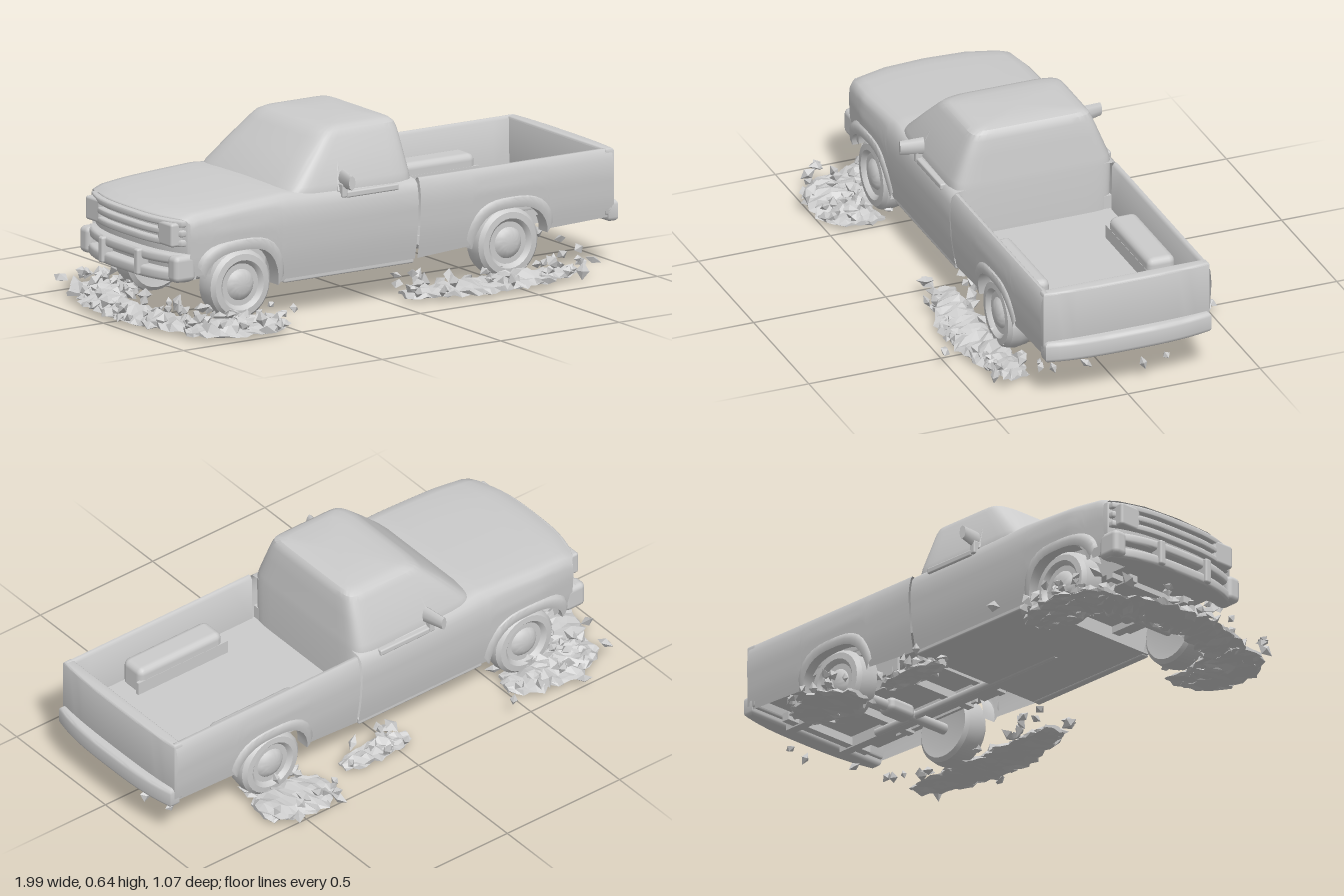
import * as THREE from 'three';
import { toCreasedNormals } from 'three/addons/utils/BufferGeometryUtils.js';
import { RoundedBoxGeometry } from 'three/addons/geometries/RoundedBoxGeometry.js';

const grey = new THREE.MeshStandardMaterial({ color: 0xcccccc, side: THREE.DoubleSide });
const rough = new THREE.MeshStandardMaterial({ color: 0xcccccc, side: THREE.DoubleSide, flatShading: true });

let seed = 7;
const rnd = () => { seed = (seed * 16807) % 2147483647; return seed / 2147483647; };

function add(parent, name, geo, mat = grey, x = 0, y = 0, z = 0) {
  const m = new THREE.Mesh(geo, mat);
  m.name = name;
  m.position.set(x, y, z);
  parent.add(m);
  return m;
}
function box(parent, name, x0, x1, y0, y1, z0, z1, r = 0) {
  const s = [x1 - x0, y1 - y0, z1 - z0];
  const g = r ? new RoundedBoxGeometry(...s, 2, r) : new THREE.BoxGeometry(...s);
  return add(parent, name, g, grey, (x0 + x1) / 2, (y0 + y1) / 2, (z0 + z1) / 2);
}
// Joins cross-sections (arrays of [x, y, z]) into a skin
function loft(sections, closed = false, caps = false, crease = 0.6) {
  const n = sections[0].length, pos = sections.flat(2), idx = [];
  for (let j = 0; j < sections.length - 1; j++) {
    for (let i = 0; i < (closed ? n : n - 1); i++) {
      const a = j * n + i, b = j * n + (i + 1) % n;
      idx.push(a, b, a + n, b, b + n, a + n);
    }
  }
  if (caps) for (const j of [0, sections.length - 1]) {
    const c = pos.length / 3, s = sections[j];
    for (let k = 0; k < 3; k++) pos.push(s.reduce((t, p) => t + p[k], 0) / n);
    for (let i = 0; i < n; i++) {
      const a = j * n + i, b = j * n + (i + 1) % n;
      idx.push(...(j ? [a, b, c] : [b, a, c]));
    }
  }
  const g = new THREE.BufferGeometry();
  g.setAttribute('position', new THREE.Float32BufferAttribute(pos, 3));
  g.setIndex(idx);
  return toCreasedNormals(g, crease);
}
// Linear interpolation through [input, output] pairs
function lerpTable(t, v) {
  if (v <= t[0][0]) return t[0][1];
  for (let i = 1; i < t.length; i++) if (v <= t[i][0]) {
    const [a, b] = [t[i - 1], t[i]];
    return a[1] + (b[1] - a[1]) * (v - a[0]) / (b[0] - a[0]);
  }
  return t[t.length - 1][1];
}
const halfWidth = y => lerpTable([[0.12, 0.296], [0.19, 0.31], [0.25, 0.319], [0.35, 0.325], [0.4, 0.319], [0.425, 0.311], [0.45, 0.295]], y);
const baseLine = x => lerpTable([[-0.88, 0.2], [-0.77, 0.2], [-0.45, 0.135], [0.12, 0.14], [0.35, 0.155], [0.67, 0.175], [0.96, 0.185]], x);
const hoodLine = x => lerpTable([[-0.9, 0.4], [-0.85, 0.42], [-0.75, 0.428], [-0.42, 0.447], [-0.34, 0.44], [0.12, 0.43]], x);
const FRONT = -0.615, REAR = 0.515, ARCH = 0.165;
function bottom(x) {
  const b = baseLine(x);
  const u = Math.min(Math.abs(x - FRONT), Math.abs(x - REAR)) / ARCH;
  return u >= 1 ? b : b + (0.287 - b) * Math.pow(1 - Math.pow(u, 3), 1 / 1.8);
}
const archX = c => Array.from({ length: 17 }, (_, i) => c - ARCH * Math.cos(Math.PI * i / 16));
// Rounds the nose in plan
const nose = (x, z) => x < -0.6 ? x + 0.055 * ((-0.6 - x) / 0.28) * Math.pow(Math.abs(z) / 0.31, 3) : x;

function sideRows(x, top, rows = 9) {
  const b = bottom(x), taper = x < -0.7 ? 1 - 0.05 * (-0.7 - x) / 0.18 : 1;
  return Array.from({ length: rows + 1 }, (_, i) => {
    const y = b + (top - b) * i / rows;
    return [nose(x, 0.31), y, halfWidth(y) * taper];
  });
}
// Slab with a gently bowed front or rear edge seen from above
function bowed(parent, name, xTip, xBack, hz, y0, y1, bow, bevel = 0.006) {
  const s = new THREE.Shape();
  s.moveTo(xBack, -hz);
  for (let i = 0; i <= 16; i++) {
    const u = i / 8 - 1;
    s.lineTo(xTip - Math.sign(xTip) * (bow * Math.pow(Math.abs(u), 3) + bevel), u * hz);
  }
  s.lineTo(xBack, hz);
  const g = new THREE.ExtrudeGeometry(s, { depth: y1 - y0 - 2 * bevel, bevelSize: bevel, bevelThickness: bevel, bevelSegments: 3 });
  g.rotateX(Math.PI / 2).translate(0, y1 - bevel, 0);
  return add(parent, name, toCreasedNormals(g, 0.6));
}

function buildBody(t) {
  // Fenders, doors and hood in one skin
  const xs = [-0.885, -0.87, -0.84, -0.8, ...archX(FRONT), -0.42, -0.36, -0.25, -0.1, 0.04, 0.122];
  add(t, 'frontBody', loft(xs.map(x => {
    const h = hoodLine(x), side = sideRows(x, h - 0.018);
    const w = side[9][2];
    for (const [f, d] of [[0.95, 0.004], [0.85, 0], [0.5, -0.004], [0, -0.006]]) side.push([nose(x, w * f), h - d, w * f]);
    return [...side, ...side.slice(0, -1).reverse().map(([a, y, z]) => [a, y, -z])];
  }), false, false, 0.9));
  box(t, 'engineBay', -0.83, -0.4, 0.18, 0.38, -0.2, 0.2);
  box(t, 'cabFloor', -0.44, 0.122, 0.13, 0.3, -0.29, 0.29);

  // Cab as stacked rounded outlines: height, front x, rear x, half width
  const levels = [[0.23, -0.42, 0.128, 0.3], [0.425, -0.42, 0.128, 0.303], [0.455, -0.4, 0.124, 0.297], [0.54, -0.315, 0.115, 0.262], [0.6, -0.252, 0.108, 0.237],
    [0.622, -0.228, 0.102, 0.225], [0.633, -0.2, 0.092, 0.208], [0.638, -0.16, 0.07, 0.18], [0.642, -0.1, 0.02, 0.08]];
  add(t, 'cab', loft(levels.map(([y, x0, x1, w]) => Array.from({ length: 40 }, (_, i) => {
    const a = Math.PI * 2 * (i + 0.5) / 40, c = Math.cos(a), s = Math.sin(a);
    const p = v => Math.sign(v) * Math.pow(Math.abs(v), 0.18);
    const z = p(s) * w, x = (x0 + x1) / 2 + p(c) * (x1 - x0) / 2;
    return [c < 0 ? x + 0.02 * (z / w) ** 2 : x, y, z];
  })), true, true, 0.5));

  // Bed walls: outer skin, rail and inner skin
  const bx = [0.132, 0.22, 0.3, ...archX(REAR), 0.72, 0.85, 0.945];
  for (const s of [1, -1]) {
    add(t, 'bedSide', loft(bx.map(x => [...sideRows(x, 0.42).map(([a, y, z]) => [a, y, z * s]),
      [x, 0.43, 0.306 * s], [x, 0.43, 0.296 * s], [x, 0.42, 0.288 * s], [x, 0.24, 0.285 * s]]), false, false, 0.9));
    box(t, 'wheelHousing', 0.34, 0.71, 0.23, 0.345, s > 0 ? 0.185 : -0.29, s > 0 ? 0.29 : -0.185, 0.025);
    box(t, 'innerFender', 0.32, 0.72, 0.17, 0.3, s * 0.19 - 0.006, s * 0.19 + 0.006);
  }
  box(t, 'bedFloor', 0.12, 0.945, 0.225, 0.25, -0.288, 0.288);
  bowed(t, 'tailgate', 0.965, 0.925, 0.306, 0.19, 0.43, 0.012, 0.008);
  bowed(t, 'rearBumper', 0.999, 0.945, 0.298, 0.165, 0.242, 0.025, 0.016);

  // Nose
  bowed(t, 'noseCore', -0.88, -0.78, 0.28, 0.21, 0.405, 0.05);
  for (const y of [0.305, 0.34, 0.375]) bowed(t, 'grilleBar', -0.902, -0.82, 0.275, y, y + 0.024, 0.05);
  bowed(t, 'frontBumper', -0.922, -0.83, 0.285, 0.18, 0.222, 0.06, 0.012);
  bowed(t, 'upperBumper', -0.918, -0.83, 0.285, 0.242, 0.28, 0.06, 0.012);
  for (const s of [1, -1]) {
    box(t, 'headlight', -0.885, -0.83, 0.305, 0.39, s * 0.225 - 0.045, s * 0.225 + 0.045, 0.01);
    box(t, 'bumperGuard', -0.93, -0.88, 0.185, 0.278, s * 0.11 - 0.014, s * 0.11 + 0.014, 0.008);
    box(t, 'bumperEnd', -0.89, -0.8, 0.182, 0.278, s * 0.275 - 0.03, s * 0.275 + 0.03, 0.02);
    // Flattened flares around the arches
    for (const c of [FRONT, REAR]) {
      add(t, 'archFlare', loft(archX(c).map(x => {
        const y = bottom(x), u = (x - c) / ARCH, z = halfWidth(y);
        const edge = (k, dz) => [x + u * k * 0.6, y + k, s * (z + dz)];
        return [edge(-0.012, -0.05), edge(-0.012, 0.006), edge(0.006, 0.011), edge(0.024, 0.007), edge(0.032, -0.006)];
      }), false, false, 0.8));
    }
    // Mirror, arm, quarter-light bar and window ledge
    const m = add(t, 'mirror', new THREE.CylinderGeometry(0.026, 0.034, 0.085, 8).scale(0.5, 1, 1).rotateX(s * Math.PI / 2), grey, -0.188, 0.468, s * 0.338);
    m.rotation.y = s * -0.2;
    box(t, 'mirrorArm', -0.2, -0.178, 0.405, 0.455, s * 0.308 - 0.018, s * 0.308 + 0.018, 0.006);
    const bar = box(t, 'quarterLightBar', -0.198, -0.188, 0.42, 0.53, s * 0.285 - 0.004, s * 0.285 + 0.004, 0.003);
    bar.rotation.set(s * -0.4, 0, -0.2);
    box(t, 'windowLedge', -0.18, 0.04, 0.402, 0.425, s * 0.312 - 0.012, s * 0.312 + 0.012, 0.006);
    box(t, 'rocker', -0.43, 0.12, 0.125, 0.15, s * 0.285 - 0.015, s * 0.285 + 0.015, 0.006);
  }
}

function buildChassis(t) {
  // Ladder frame, axles and exhaust
  for (const s of [1, -1]) box(t, 'frameRail', -0.8, 0.93, 0.155, 0.195, s * 0.13 - 0.018, s * 0.13 + 0.018);
  for (const x of [-0.75, 0.2, 0.36, 0.66, 0.88]) box(t, 'crossMember', x - 0.015, x + 0.015, 0.16, 0.19, -0.2, 0.2);
  for (const c of [FRONT, REAR]) {
    add(t, 'axle', new THREE.CylinderGeometry(0.02, 0.02, 0.5, 10).rotateX(Math.PI / 2), grey, c, 0.14, 0);
    box(t, 'differential', c - 0.035, c + 0.035, 0.112, 0.168, -0.07, 0.05, 0.02);
  }
  add(t, 'exhaust', new THREE.CylinderGeometry(0.014, 0.014, 0.9, 8).rotateZ(Math.PI / 2), grey, 0.25, 0.14, 0.07);
  // Wheels: half profile from inner face to hub, as radius and width
  const profile = [[0, -0.045], [0.08, -0.045], [0.11, -0.05], [0.124, -0.038], [0.13, 0], [0.125, 0.034], [0.112, 0.048], [0.09, 0.05],
    [0.082, 0.043], [0.076, 0.034], [0.056, 0.034], [0.046, 0.044], [0.03, 0.051], [0, 0.053]].map(p => new THREE.Vector2(...p));
  const wheel = toCreasedNormals(new THREE.LatheGeometry(profile, 28).rotateX(Math.PI / 2), 0.6);
  for (const c of [FRONT, REAR]) for (const s of [1, -1]) {
    const w = add(t, 'wheel', wheel, grey, c, 0.145, s * 0.265);
    if (s < 0) w.rotation.y = Math.PI;
  }
}

// An angular shard of mud
function clod(parent, x, y, z, size) {
  const c = add(parent, 'mudClod', new THREE.OctahedronGeometry(size, 0), rough, x, y, z);
  c.scale.set(0.6, 0.6 + 0.9 * rnd(), 0.9);
  c.rotation.set(rnd() * 3, rnd() * 3, rnd() * 3);
}
// A jagged, flattened mound of splashed mud along a ground path, with loose clods
function mud(parent, path, width, clods) {
  const curve = new THREE.CatmullRomCurve3(path.map(([x, z]) => new THREE.Vector3(x, 0, z)));
  const n = Math.ceil(curve.getLength() / 0.024), sections = [];
  const across = u => { const d = curve.getTangentAt(u); return new THREE.Vector3(-d.z, 0, d.x); };
  for (let j = 0; j <= n; j++) {
    const u = j / n, p = curve.getPointAt(u), q = across(u), fade = Math.pow(Math.sin(Math.PI * (0.06 + 0.88 * u)), 0.5);
    sections.push(Array.from({ length: 12 }, (_, i) => {
      const a = i / 12 * Math.PI * 2, r = Math.cos(a) * width * fade * (0.8 + 0.4 * rnd());
      const lift = Math.sin(a) > 0.1 ? 0.03 * Math.sin(a) * (0.5 + rnd()) * fade : 0;
      return [p.x + q.x * r, 0.017 + lift + 0.014 * (rnd() - 0.5), p.z + q.z * r];
    }));
  }
  const g = new THREE.Group();
  g.name = 'mudSplash';
  parent.add(g);
  add(g, 'mudMound', loft(sections, true, true), rough);
  for (let i = 0; i < clods; i++) {
    const u = rnd(), p = curve.getPointAt(u), k = (rnd() < 0.5 ? -1 : 1) * (0.5 + 0.55 * rnd());
    p.addScaledVector(across(u), k * width);
    clod(g, p.x, 0.03 + 0.05 * rnd(), p.z, 0.018 + 0.012 * rnd());
  }
}

export function createModel() {
  seed = 7;
  const model = new THREE.Group();
  model.name = 'muddyPickup';
  const truck = new THREE.Group();
  truck.name = 'truck';
  truck.position.z = -0.015;
  model.add(truck);
  buildBody(truck);
  buildChassis(truck);
  // Around the nose, then beside each wheel
  mud(model, [[-0.5, 0.32], [-0.68, 0.35], [-0.82, 0.26], [-0.88, 0.1], [-0.88, -0.1], [-0.82, -0.28], [-0.7, -0.34], [-0.52, -0.32]], 0.085, 70);
  mud(model, [[-0.88, 0.33], [-0.7, 0.41], [-0.51, 0.4]], 0.095, 24);
  mud(model, [[-0.89, -0.35], [-0.7, -0.385], [-0.5, -0.35]], 0.08, 22);
  mud(model, [[0.06, 0.3], [0.28, 0.345], [0.52, 0.345], [0.77, 0.31]], 0.085, 45);
  mud(model, [[0.33, -0.39], [0.47, -0.4], [0.62, -0.38]], 0.11, 26);
  mud(model, [[-0.06, -0.36], [0.08, -0.36], [0.23, -0.36]], 0.05, 12);
  // Stray clods
  for (const [x, z] of [[0.78, 0.36], [0.81, 0.38], [0.54, 0.5], [-0.73, -0.51], [-0.44, -0.48], [-0.48, 0.42], [0.8, 0.2], [0.83, 0.26],
    [0.86, 0.1], [0.9, -0.1], [0.87, -0.2], [-0.97, 0.05], [-0.97, -0.14], [0.0, -0.43], [-0.68, 0.515]]) clod(model, x, 0.045 + 0.035 * rnd(), z, 0.024);
  return model;
}
